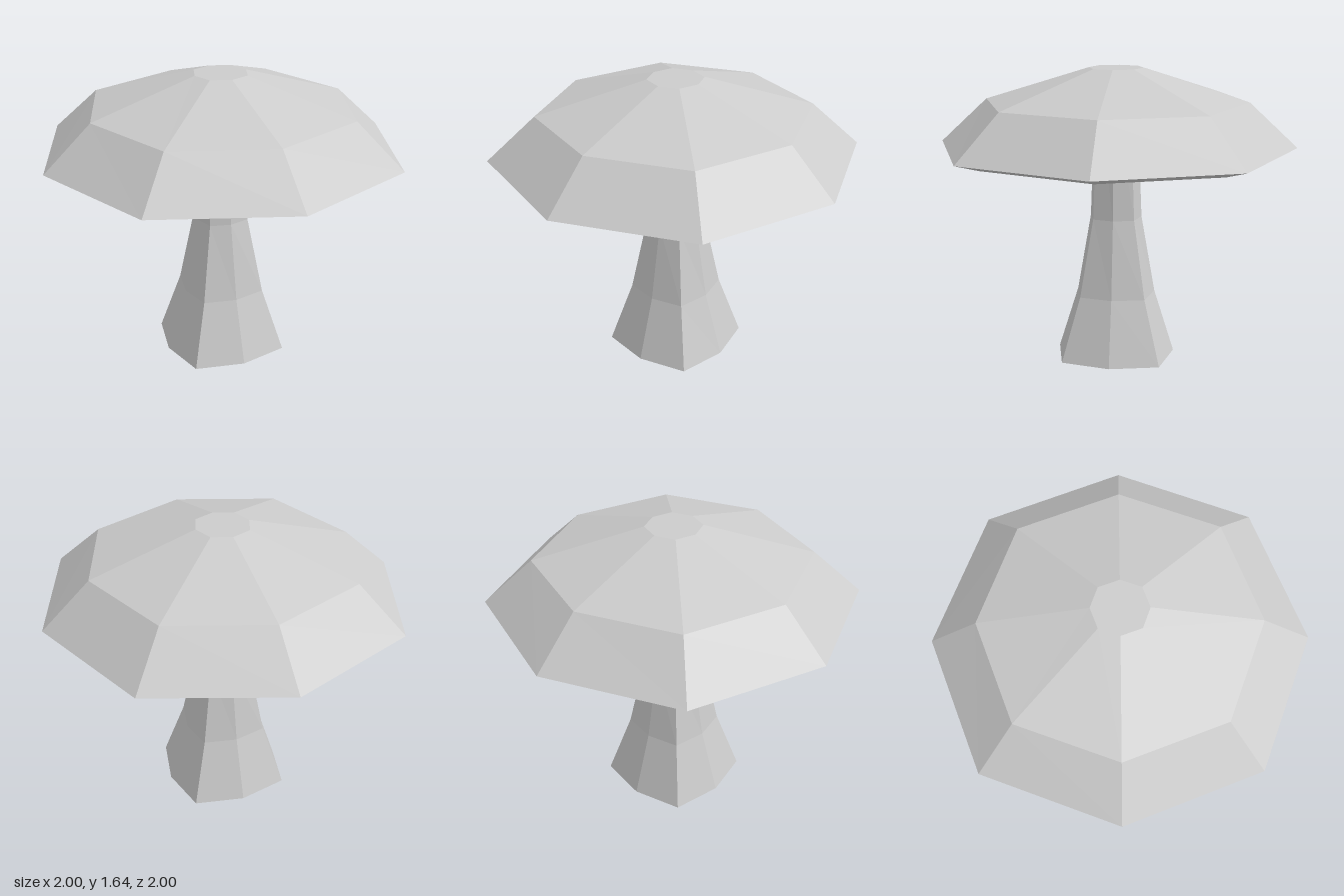
import * as THREE from 'three';

// Faceted eight-sided solid from rings of [axis radius, diagonal corner offset, height].
function octagonLoft(rings) {
  const points = rings.map(([r, , y]) => new THREE.Vector2(r, y));
  const geometry = new THREE.LatheGeometry(points, 8);
  const position = geometry.attributes.position;
  for (let i = 0; i < position.count; i++) {
    const side = Math.floor(i / rings.length);
    if (side % 2 === 0) continue;
    // Move the corners that lie on the diagonals
    const d = rings[i % rings.length][1];
    position.setX(i, Math.sign(position.getX(i)) * d);
    position.setZ(i, Math.sign(position.getZ(i)) * d);
  }
  const flat = geometry.toNonIndexed();
  flat.computeVertexNormals();
  return flat;
}

export function createModel() {
  const group = new THREE.Group();
  group.name = 'mushroom';
  const grey = new THREE.MeshStandardMaterial({ color: 0xcccccc });
  grey.name = 'light grey';

  const addPart = (name, rings) => {
    const mesh = new THREE.Mesh(octagonLoft(rings), grey);
    mesh.name = name;
    group.add(mesh);
  };

  // Flared stem, reaching up to the hollow of the cap
  addPart('stem', [
    [0, 0, 0],
    [0.335, 0.275, 0],
    [0.222, 0.182, 0.36],
    [0.145, 0.115, 0.8],
    [0.116, 0.089, 1.54],
    [0, 0, 1.54],
  ]);

  // Hollow cap: underside first, then round the rim and over the top
  addPart('cap', [
    [0, 0, 1.53],
    [0.13, 0.095, 1.53],
    [0.635, 0.462, 1.335],
    [0.86, 0.623, 1.167],
    [1, 0.724, 1.21],
    [0.735, 0.535, 1.455],
    [0.15, 0.11, 1.637],
    [0, 0, 1.637],
  ]);

  return group;
}
